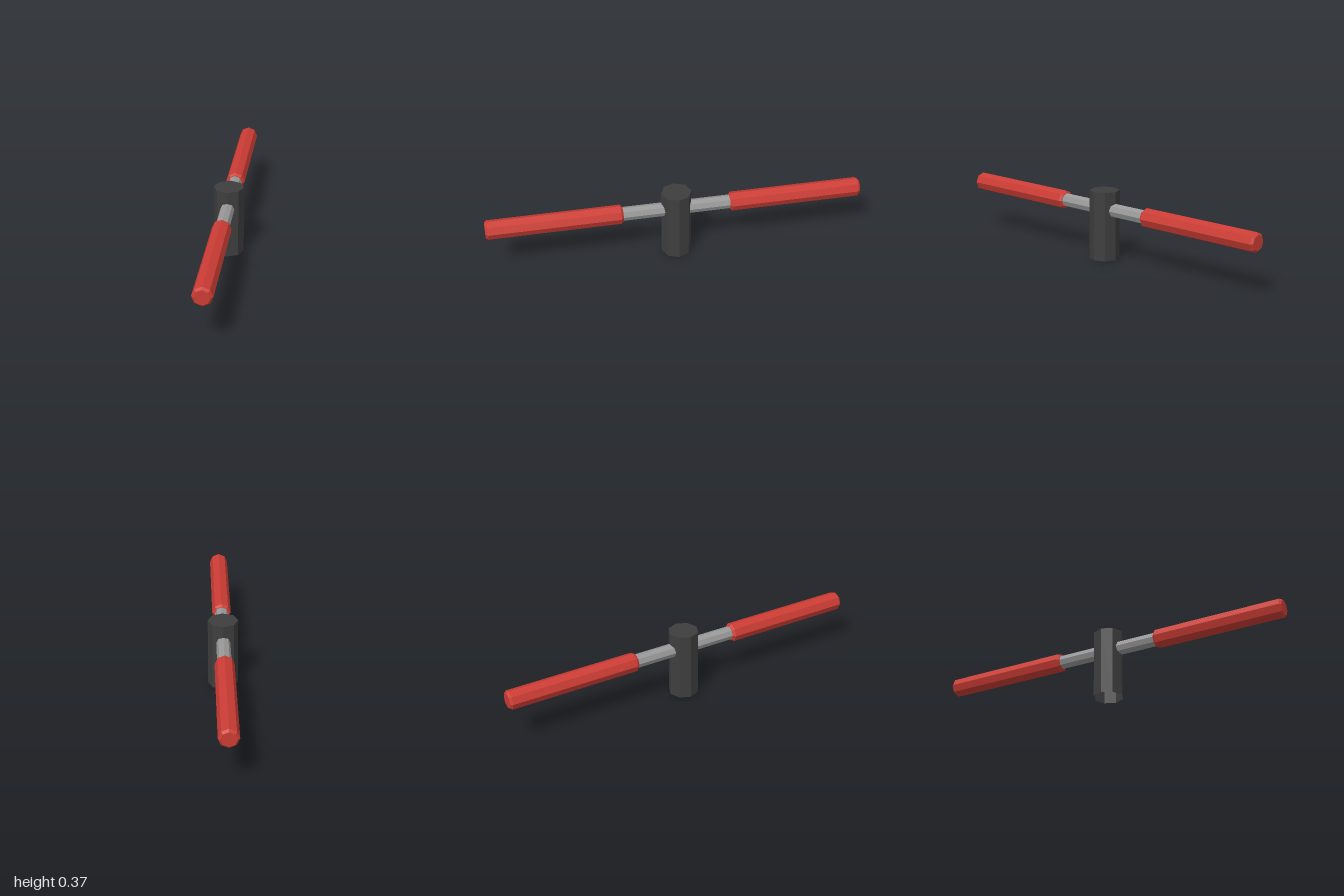
import * as THREE from 'three';

const SIDES = 8;
const BAR_Y = 0.27;

export function createModel() {
  const model = new THREE.Group();
  model.name = 'handle';

  const flat = (name, color) => new THREE.MeshStandardMaterial({ name, color, flatShading: true });
  const red = flat('red grip', 0xcb3c34);
  const steel = flat('grey metal', 0x989898);
  const dark = flat('dark post', 0x3e3e3e);
  dark.side = THREE.DoubleSide;

  // Octagonal solid of revolution from [radius, height] pairs, bottom to top
  const turned = (name, material, profile) => {
    const points = profile.map(([r, h]) => new THREE.Vector2(r, h));
    const mesh = new THREE.Mesh(new THREE.LatheGeometry(points, SIDES), material);
    mesh.name = name;
    model.add(mesh);
    return mesh;
  };

  // Upright post, closed on top and open underneath
  turned('post', dark, [[0.08, 0], [0.08, 0.37], [0, 0.37]]);

  // Cross bar through the post
  const bar = turned('crossBar', steel, [[0, -0.3], [0.037, -0.3], [0.037, 0.3], [0, 0.3]]);
  bar.rotation.x = Math.PI / 2;
  bar.position.y = BAR_Y;

  // Bevelled grips at both ends
  for (const side of [1, -1]) {
    const grip = turned(side > 0 ? 'frontGrip' : 'backGrip', red, [
      [0, 0.285], [0.04, 0.285], [0.051, 0.297], [0.051, 0.988], [0.04, 1], [0, 1],
    ]);
    grip.rotation.x = side * Math.PI / 2;
    grip.position.y = BAR_Y;
  }

  return model;
}
